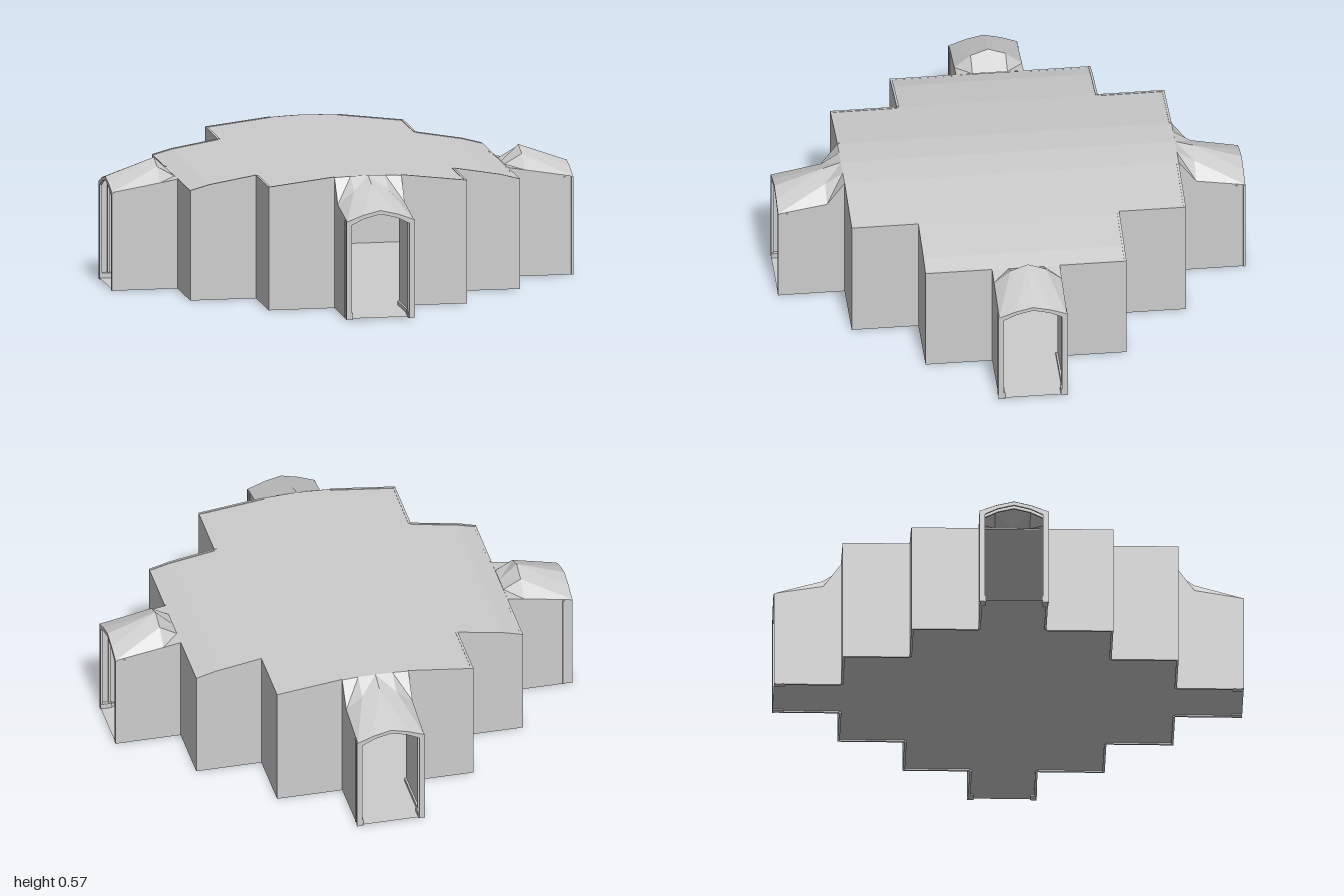
import * as THREE from 'three';

const END = 1, HALL = 0.715, STEP = 0.43, DOOR = 0.145, THICK = 0.01;

// Height of the shallow vault against distance from its ridge
const VAULT = [[0, 0.57], [DOOR, 0.564], [STEP, 0.53], [0.63, 0.496], [HALL, 0.473]];

function lerpTable(table, v) {
  for (let i = 1; i < table.length; i++) {
    const [a, ha] = table[i - 1], [b, hb] = table[i];
    if (v <= b) return ha + (hb - ha) * (v - a) / (b - a);
  }
  return table[table.length - 1][1];
}
const vaultAt = (x) => lerpTable(VAULT, Math.abs(x));

// Folded sheet through rows of points running in +x, rows in +z; diagonals mirror about x = 0
function sheet(rows) {
  const pos = [];
  for (let i = 0; i < rows.length - 1; i++) {
    for (let j = 0; j < rows[i].length - 1; j++) {
      const a = rows[i][j], b = rows[i][j + 1], c = rows[i + 1][j + 1], d = rows[i + 1][j];
      const faces = a[0] < 0 ? [a, d, b, b, d, c] : [a, d, c, a, c, b];
      for (const p of faces) pos.push(...p);
    }
  }
  const g = new THREE.BufferGeometry();
  g.setAttribute('position', new THREE.Float32BufferAttribute(pos, 3));
  g.computeVertexNormals();
  return g;
}

// Upright panel whose outer face runs from a to b (x, z), thickened inward
function panel(a, b, topAt, stops) {
  const from = new THREE.Vector3(a[0], 0, a[1]);
  const dir = new THREE.Vector3(b[0] - a[0], 0, b[1] - a[1]);
  const len = dir.length();
  dir.normalize();
  const shape = new THREE.Shape();
  shape.moveTo(0, 0);
  shape.lineTo(len, 0);
  for (const t of [...stops].reverse()) {
    shape.lineTo(t * len, topAt(from.x + dir.x * t * len, from.z + dir.z * t * len));
  }
  const g = new THREE.ExtrudeGeometry(shape, { depth: THICK, bevelEnabled: false });
  const up = new THREE.Vector3(0, 1, 0);
  const m = new THREE.Matrix4().makeBasis(dir, up, dir.clone().cross(up)).setPosition(from);
  return g.applyMatrix4(m);
}

export function createModel() {
  const model = new THREE.Group();
  const grey = new THREE.MeshStandardMaterial({ color: 0xcccccc, side: THREE.DoubleSide });
  grey.name = 'light grey';

  const add = (parent, name, geometry) => {
    const mesh = new THREE.Mesh(geometry, grey);
    mesh.name = name;
    parent.add(mesh);
    return mesh;
  };

  // Stepped hall walls, a quarter at a time
  const quarter = [[DOOR, HALL], [STEP, HALL], [STEP, STEP], [HALL, STEP], [HALL, DOOR]];
  const turn = ([x, z], n) => (n === 0 ? [x, z] : turn([z, -x], n - 1));
  const walls = new THREE.Group();
  walls.name = 'hallWalls';
  model.add(walls);
  for (let q = 0; q < 4; q++) {
    for (let i = 0; i < quarter.length - 1; i++) {
      const a = turn(quarter[i + 1], q), b = turn(quarter[i], q);
      add(walls, 'wallPanel', panel(a, b, (x) => vaultAt(x) + 0.003, [0, 0.3, 0.7, 1]));
    }
  }

  // Vaulted roof between the wall tops
  const xs = [-HALL, -0.63, -STEP, -DOOR, 0, DOOR, STEP, 0.63, HALL];
  const strip = (list, depth) =>
    sheet([-depth, depth].map((z) => list.map((x) => [x, vaultAt(x), z])));
  add(model, 'roofCentre', strip(xs.slice(2, 7), HALL));
  add(model, 'roofRight', strip(xs.slice(0, 3), STEP));
  add(model, 'roofLeft', strip(xs.slice(6), STEP));

  // Floor following the whole outline
  const outline = [];
  for (let q = 0; q < 4; q++) {
    for (const p of [[DOOR, END], ...quarter, [END, DOOR]]) {
      const [x, z] = turn(p, q);
      outline.push(new THREE.Vector2(x, z));
    }
  }
  const floor = add(model, 'floor', new THREE.ShapeGeometry(new THREE.Shape(outline)));
  floor.rotation.x = Math.PI / 2;
  floor.position.y = 0.006;

  // Pointed door frame
  const frame = new THREE.Shape();
  const outer = [[0.148, 0], [0.148, 0.424], [0.075, 0.451], [0, 0.469]];
  const inner = [[0, 0.453], [0.07, 0.436], [0.124, 0.41], [0.124, 0]];
  const mirror = (pts) => pts.map(([x, y]) => [-x, y]).reverse();
  const path = [...outer, ...mirror(outer.slice(0, 3)), ...mirror(inner.slice(1)), ...inner];
  path.forEach(([x, y], i) => (i ? frame.lineTo(x, y) : frame.moveTo(x, y)));
  const frameGeo = new THREE.ExtrudeGeometry(frame, { depth: 0.009, bevelEnabled: false });
  const footGeo = new THREE.BoxGeometry(0.026, 0.028, 0.045);
  const skirtGeo = new THREE.BoxGeometry(0.012, 0.016, 0.25);

  // Entrance porch facing +z; the inner end meets the hall roof
  function porch(name, innerEnd) {
    const g = new THREE.Group();
    g.name = name;
    const [ridge, mid, eave] = innerEnd;
    const sections = [
      [HALL, ridge, mid, eave],
      [0.79, 0.545, 0.517, 0.46],
      [END, 0.47, 0.452, 0.425],
    ];
    add(g, 'porchRoof', sheet(sections.map(([z, r, m, e]) => [
      [-DOOR, e, z], [-0.075, m, z], [0, r, z], [0.075, m, z], [DOOR, e, z],
    ])));
    const eaves = sections.map(([z, , , e]) => [z, e]);
    const topAt = (x, z) => lerpTable(eaves, z);
    const bend = (0.79 - HALL) / (END - HALL);
    add(g, 'porchWallLeft', panel([DOOR, HALL], [DOOR, END], topAt, [0, bend, 1]));
    add(g, 'porchWallRight', panel([-DOOR, END], [-DOOR, HALL], topAt, [0, 1 - bend, 1]));
    for (const z of [0.957, 0.991]) add(g, 'doorFrame', frameGeo).position.z = z;
    for (const s of [-1, 1]) {
      add(g, 'frameFoot', footGeo).position.set(s * 0.132, 0.014, 0.975);
      add(g, 'skirting', skirtGeo).position.set(s * 0.133, 0.014, 0.84);
    }
    model.add(g);
    return g;
  }
  // Front and back porches rise to the ridge, side porches dip to the low roof edge
  const tall = [0.57, 0.568, 0.564], low = [0.475, 0.475, 0.473];
  porch('frontPorch', tall);
  porch('leftPorch', low).rotation.y = Math.PI / 2;
  porch('backPorch', tall).rotation.y = Math.PI;
  porch('rightPorch', low).rotation.y = -Math.PI / 2;

  return model;
}
